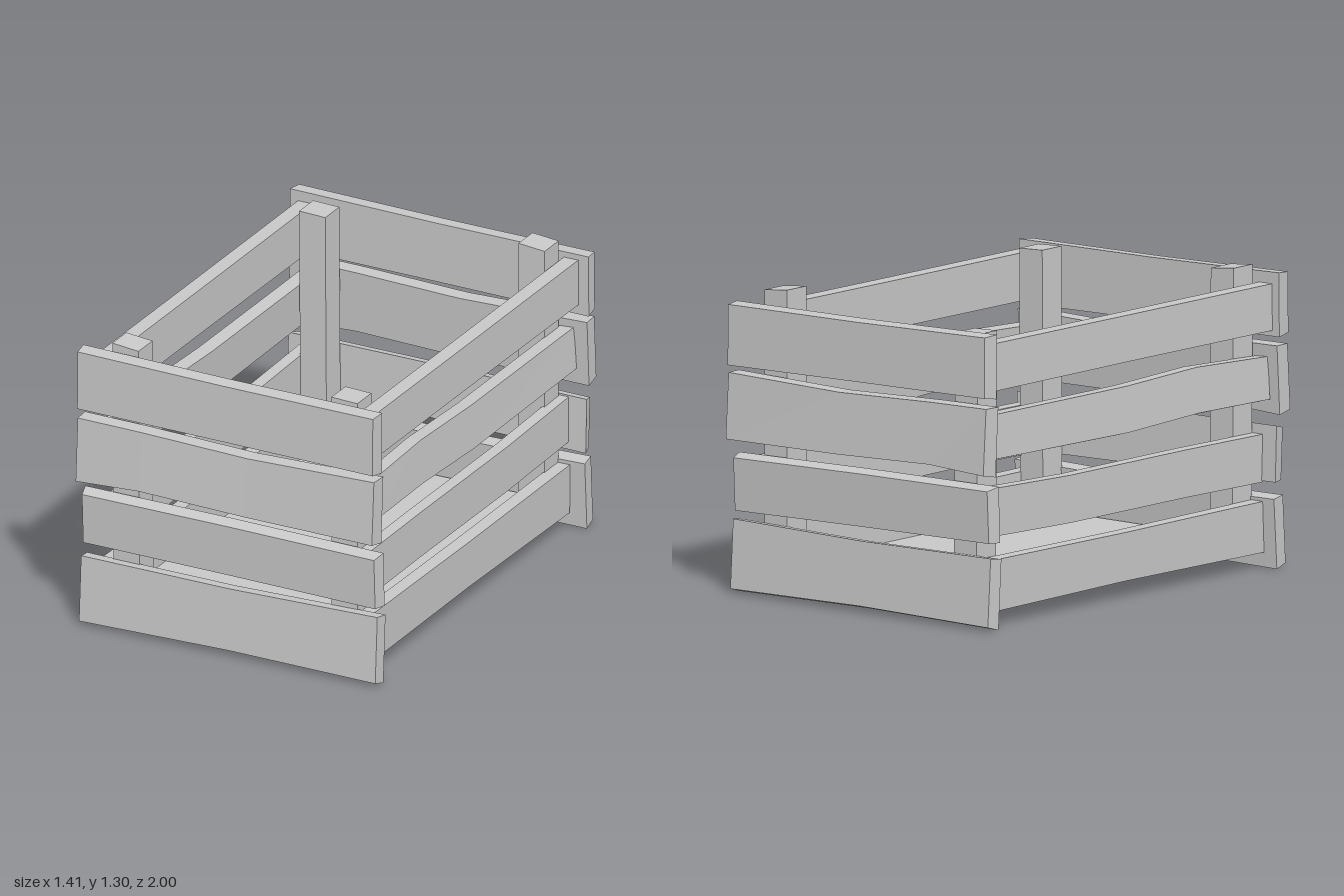
import * as THREE from 'three';

const wood = new THREE.MeshStandardMaterial({ color: 0xc8c8c8 });
wood.name = 'greyWood';

// Hard-edged mesh
function addFlat(group, geometry, name) {
  const flat = geometry.toNonIndexed();
  flat.computeVertexNormals();
  const mesh = new THREE.Mesh(flat, wood);
  mesh.name = name;
  group.add(mesh);
  return mesh;
}

// Warped board along x. stations: [x, bottom, top] of the outer face.
// depth: outer and inner distance at the bottom and top; the inner face is
// raised by innerBottom / innerTop, and the outer face is shorter by inset at
// each end. side = -1 gives the mirrored board.
function boardGeometry({ stations, depth, innerBottom = 0, innerTop = 0, inset = 0 }, side) {
  const n = stations.length - 1;
  const geo = new THREE.BoxGeometry(n, 1, 1, n, 1, 1);
  const p = geo.attributes.position;
  const [outBottom, inBottom, outTop, inTop] = depth;
  for (let i = 0; i < p.count; i++) {
    const k = Math.round(p.getX(i) + n / 2);
    const [x, bottom, top] = stations[k];
    const isTop = p.getY(i) > 0;
    const isOuter = p.getZ(i) * side > 0;
    const shift = isOuter && (k === 0 || k === n) ? inset * Math.sign(x) : 0;
    let y = isTop ? top : bottom;
    if (!isOuter) y += isTop ? innerTop : innerBottom;
    const z = isTop ? (isOuter ? outTop : inTop) : (isOuter ? outBottom : inBottom);
    p.setXYZ(i, x - shift, y, z * side);
  }
  return geo;
}

// Wide boards on the front and back
const endBoards = [
  { stations: [[-0.703, 0.02, 0.31], [0, 0.03, 0.302], [0.702, 0.02, 0.314]],
    depth: [0.968, 0.905, 0.95, 0.886], innerBottom: -0.018, innerTop: -0.01, inset: 0.005 },
  { stations: [[-0.703, 0.372, 0.594], [0, 0.363, 0.588], [0.702, 0.35, 0.575]],
    depth: [0.95, 0.895, 0.961, 0.903], innerBottom: -0.002, innerTop: 0.015, inset: 0.015 },
  { stations: [[-0.703, 0.666, 0.947], [-0.4, 0.681, 0.942], [0.1, 0.665, 0.925], [0.702, 0.658, 0.938]],
    depth: [0.998, 0.924, 0.98, 0.906], innerBottom: -0.014, innerTop: 0, inset: 0.005 },
  { stations: [[-0.704, 0.992, 1.25], [0, 0.982, 1.234], [0.703, 0.97, 1.227]],
    depth: [0.988, 0.92, 0.986, 0.917], innerBottom: -0.01, innerTop: 0.005, inset: 0.008 },
];

// Narrow boards on the left and right, the lower ones set further in
const sideBoards = [
  { stations: [[-0.903, 0.066, 0.284], [0, 0.073, 0.28], [0.893, 0.064, 0.285]],
    depth: [0.63, 0.57, 0.634, 0.572], innerBottom: -0.005 },
  { stations: [[-0.905, 0.362, 0.565], [-0.4, 0.368, 0.57], [0.35, 0.368, 0.57], [0.9, 0.382, 0.586]],
    depth: [0.622, 0.567, 0.622, 0.567], innerBottom: -0.01 },
  { stations: [[-0.913, 0.715, 0.895], [-0.45, 0.722, 0.915], [0, 0.705, 0.9], [0.913, 0.716, 0.902]],
    depth: [0.652, 0.588, 0.64, 0.575], innerBottom: -0.018, innerTop: -0.004 },
  { stations: [[-0.92, 1.006, 1.204], [0, 1.008, 1.205], [0.917, 1.006, 1.208]],
    depth: [0.66, 0.592, 0.658, 0.59], innerBottom: -0.007 },
];

// Corner posts: x and z at the top, height at the -x and +x edge
const posts = [
  ['frontLeftPost', 0.505, 0.818, 1.237, 1.232],
  ['frontRightPost', -0.517, 0.835, 1.28, 1.267],
  ['backLeftPost', 0.515, -0.828, 1.302, 1.29],
  ['backRightPost', -0.518, -0.828, 1.237, 1.232],
];

export function createModel() {
  const crate = new THREE.Group();
  crate.name = 'crate';

  endBoards.forEach((board, i) => {
    addFlat(crate, boardGeometry(board, 1), `frontBoard${i + 1}`);
    addFlat(crate, boardGeometry(board, -1), `backBoard${i + 1}`);
  });

  // The boards on the right sit slightly further out
  sideBoards.forEach((board, i) => {
    for (const side of [1, -1]) {
      const geo = boardGeometry(board, side).rotateY(Math.PI / 2);
      geo.translate(side > 0 ? -0.003 : -0.007, 0, 0);
      addFlat(crate, geo, `${side > 0 ? 'left' : 'right'}Board${i + 1}`);
    }
  });

  // Slightly leaning posts with sloping tops
  for (const [name, x, z, low, high] of posts) {
    const geo = new THREE.BoxGeometry(0.123, 1, 0.125);
    const p = geo.attributes.position;
    for (let i = 0; i < p.count; i++) {
      const isTop = p.getY(i) > 0;
      const top = p.getX(i) < 0 ? low : high;
      const cx = isTop ? x : Math.sign(x) * 0.513;
      const cz = isTop ? z : Math.sign(z) * 0.832;
      p.setXYZ(i, p.getX(i) + cx, isTop ? top : 0.08, p.getZ(i) + cz);
    }
    addFlat(crate, geo, name);
  }

  // Floor panel
  addFlat(crate, new THREE.BoxGeometry(1.14, 0.04, 1.77), 'floor').position.set(-0.005, 0.09, 0);

  return crate;
}
